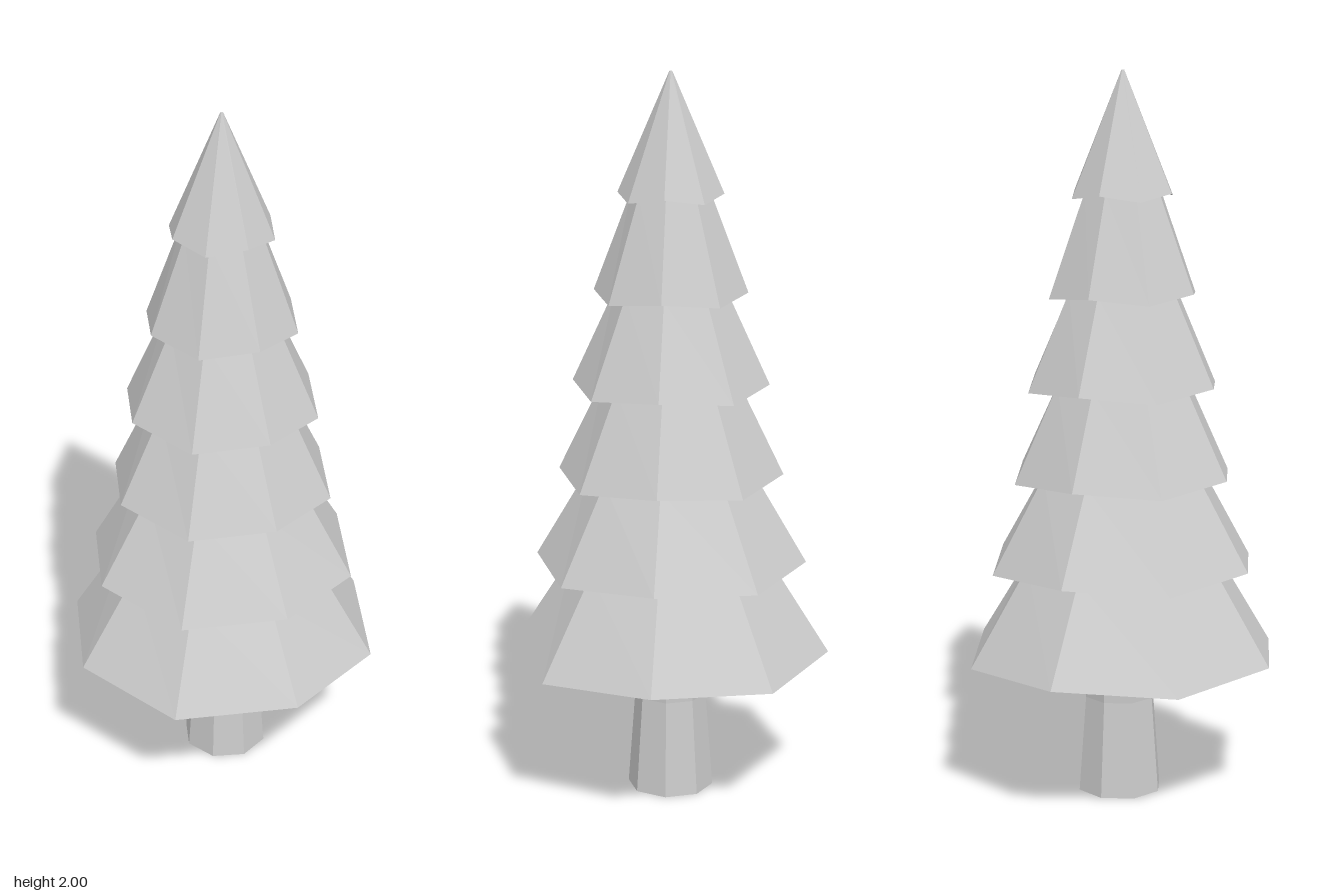
import * as THREE from 'three';

const SIDES = 8;

export function createModel() {
  const group = new THREE.Group();
  const material = new THREE.MeshStandardMaterial({ color: 0xcccccc, flatShading: true });

  // Spin a bottom-to-top profile of [radius, height] into an octagonal part
  const lathe = (name, profile) => {
    const points = profile.map(([r, y]) => new THREE.Vector2(r, y));
    const mesh = new THREE.Mesh(new THREE.LatheGeometry(points, SIDES), material);
    mesh.name = name;
    group.add(mesh);
    return mesh;
  };

  // Trunk: flared foot, slight widening under the branches
  const trunk = lathe('trunk', [[0, 0], [0.119, 0], [0.099, 0.27], [0.104, 0.42]]);
  trunk.position.set(0.007, 0, -0.007);

  // Branch tiers: rim radius, rim height, top radius, top height
  const tiers = [
    [0.44, 0.387, 0.275, 0.662],
    [0.375, 0.645, 0.228, 0.91],
    [0.31, 0.893, 0.187, 1.16],
    [0.27, 1.143, 0.153, 1.412],
    [0.21, 1.395, 0.108, 1.678],
    [0.144, 1.661, 0.004, 2],
  ];
  const lift = 0.016; // every second rim corner sits a little higher

  tiers.forEach(([rimR, rimY, topR, topY], i) => {
    // Underside runs in to the tier below, or to a closed base on the lowest tier
    const underside = i === 0
      ? [[0, rimY + 0.018], [0.36, rimY + 0.018]]
      : [[tiers[i - 1][2], tiers[i - 1][3]]];
    const profile = [...underside, [rimR, rimY], [topR, topY]];
    if (i === tiers.length - 1) profile.push([0, topY]);
    const tier = lathe(`branchTier${i + 1}`, profile);

    // Raise the diagonal corners of the rim
    const pos = tier.geometry.attributes.position;
    for (let v = 0; v < pos.count; v++) {
      const segment = Math.floor(v / profile.length);
      if (v % profile.length === underside.length && segment % 2 === 1) {
        pos.setY(v, pos.getY(v) + lift);
      }
    }
    tier.geometry.computeVertexNormals();
  });

  return group;
}
